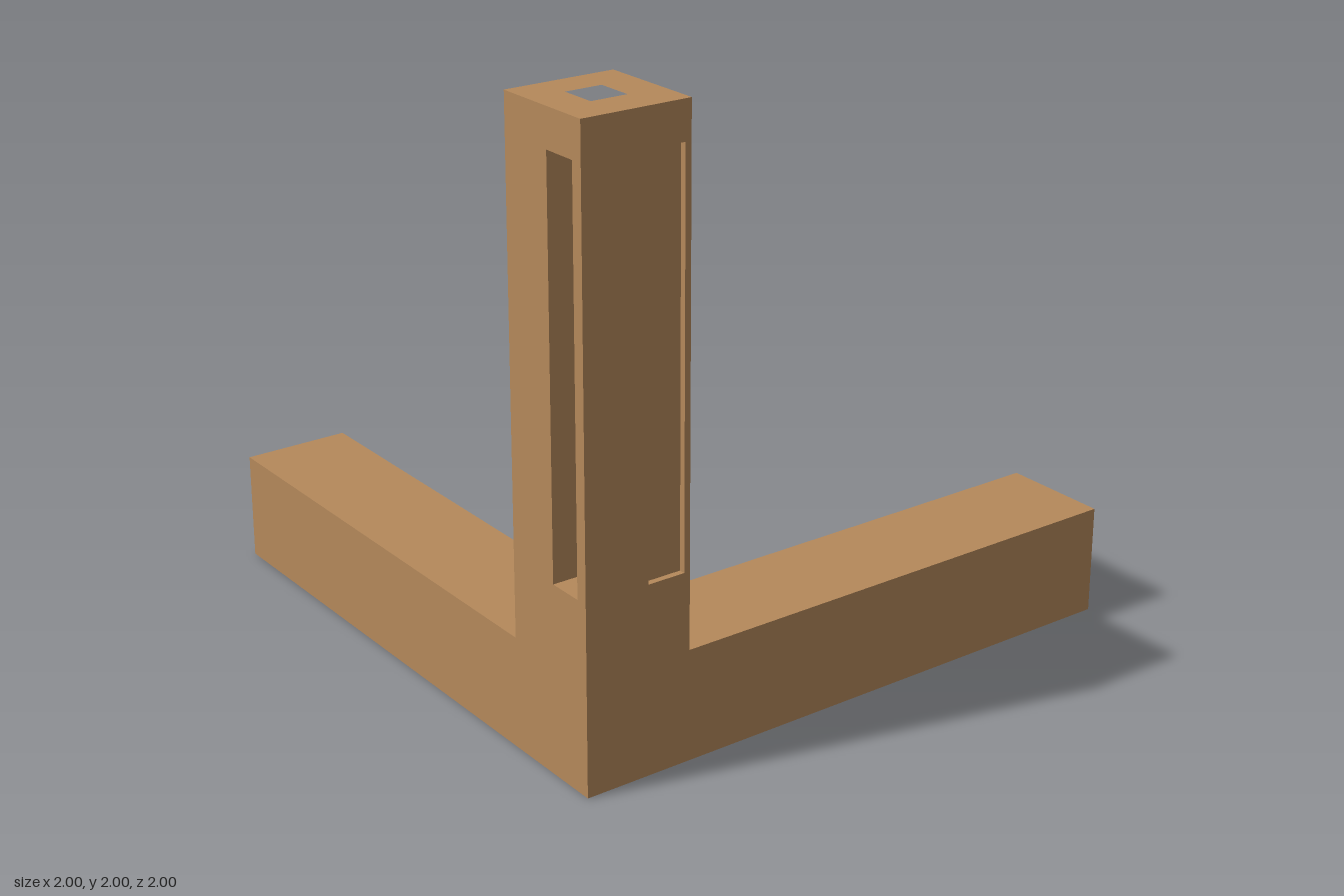
import * as THREE from 'three';

const wood = new THREE.MeshStandardMaterial({ color: 0xb5895b });
wood.name = 'wood';

// Upright prism from a plan outline of [x, z] points, with optional holes
function prism(name, plan, bottom, top, holes = []) {
  const toPoints = (pts) => pts.map(([x, z]) => new THREE.Vector2(x, -z));
  const shape = new THREE.Shape(toPoints(plan));
  for (const hole of holes) shape.holes.push(new THREE.Path(toPoints(hole)));
  const geometry = new THREE.ExtrudeGeometry(shape, { depth: top - bottom, bevelEnabled: false });
  geometry.rotateX(-Math.PI / 2);
  geometry.translate(0, bottom, 0);
  const mesh = new THREE.Mesh(geometry, wood);
  mesh.name = name;
  return mesh;
}

const rect = (x0, x1, z0, z1) => [[x0, z0], [x1, z0], [x1, z1], [x0, z1]];

export function createModel() {
  const group = new THREE.Group();
  group.name = 'cornerBracket';

  const post = rect(-1, -0.64, 0.64, 1);
  const bore = rect(-0.88, -0.76, 0.755, 0.875);

  // Two horizontal arms joined at the corner
  group.add(prism('baseArms',
    [[-1, 1], [1, 1], [1, 0.64], [-0.64, 0.64], [-0.64, -1], [-1, -1]], 0, 0.36));

  // Post: solid foot, bored neck, slotted middle and bored cap
  group.add(prism('postFoot', post, 0.36, 0.5));
  group.add(prism('postNeck', post, 0.5, 0.61, [bore]));
  group.add(prism('postSlotted', [
    // front recess
    [-1, 1], [-0.785, 1], [-0.785, 0.98], [-0.66, 0.98], [-0.66, 1], [-0.64, 1],
    // inner side recess
    [-0.64, 0.785], [-0.66, 0.785], [-0.66, 0.66], [-0.64, 0.66], [-0.64, 0.64],
    // back recess
    [-0.86, 0.64], [-0.86, 0.66], [-0.98, 0.66], [-0.98, 0.64], [-1, 0.64],
    // deep outer slot opening into the bore
    [-1, 0.84], [-0.88, 0.84], [-0.88, 0.755], [-0.76, 0.755], [-0.76, 0.96], [-1, 0.96],
  ], 0.61, 1.88));
  group.add(prism('postCap', post, 1.88, 2, [bore]));

  return group;
}
